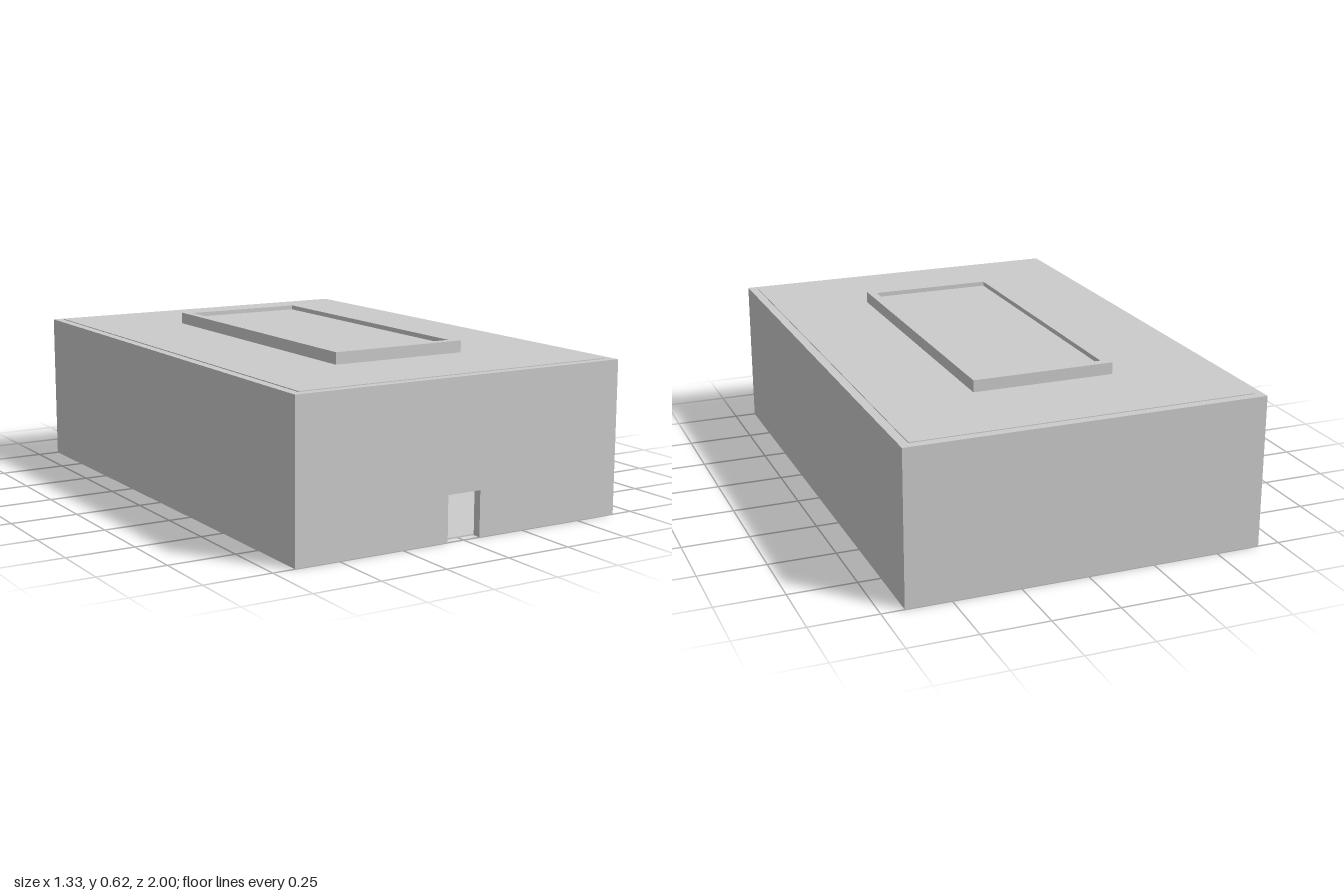
import * as THREE from 'three';

const W = 0.667, D = 1, H = 0.57, T = 0.033; // half width, half depth, wall height, wall thickness

export function createModel() {
  const model = new THREE.Group();
  const material = new THREE.MeshStandardMaterial({ color: 0xcccccc });

  const add = (name, geometry, x = 0, y = 0, z = 0) => {
    const mesh = new THREE.Mesh(geometry, material);
    mesh.name = name;
    mesh.position.set(x, y, z);
    model.add(mesh);
    return mesh;
  };
  // Box given by its size, centre in x and z, and base height
  const box = (name, w, h, d, x, y, z) =>
    add(name, new THREE.BoxGeometry(w, h, d), x, y + h / 2, z);

  // Floor, back wall and side walls
  box('floor', 2 * (W - T), 0.005, 2 * (D - T), 0, 0, 0);
  box('backWall', 2 * W, H, T, 0, 0, -D + T / 2);
  for (const [name, s] of [['leftWall', 1], ['rightWall', -1]]) {
    box(name, T, H, 2 * (D - T), s * (W - T / 2), 0, 0);
  }

  // Front wall with the doorway cut up from the ground
  const front = new THREE.Shape([
    [-W, 0], [-0.067, 0], [-0.067, 0.167], [0.067, 0.167],
    [0.067, 0], [W, 0], [W, H], [-W, H],
  ].map(([x, y]) => new THREE.Vector2(x, y)));
  add('frontWall', new THREE.ExtrudeGeometry(front, { depth: T, bevelEnabled: false }), 0, 0, D - T);

  // Roof slab set between the walls, standing barely proud of them
  box('roof', 2 * (W - T), T, 2 * (D - T), 0, 0.573 - T, 0);

  // Raised roof frame around a slightly sunken panel
  const rectangle = (Type, x, z) => new Type([
    new THREE.Vector2(-x, -z), new THREE.Vector2(x, -z),
    new THREE.Vector2(x, z), new THREE.Vector2(-x, z),
  ]);
  const rim = rectangle(THREE.Shape, 0.267, 0.6);
  rim.holes.push(rectangle(THREE.Path, 0.235, 0.566));
  const rimGeometry = new THREE.ExtrudeGeometry(rim, { depth: 0.047, bevelEnabled: false });
  rimGeometry.rotateX(-Math.PI / 2);
  add('roofFrame', rimGeometry, 0, H, 0);
  box('roofPanel', 0.47, 0.03, 1.132, 0, H, 0);

  // Round inner column with a flared foot
  const profile = [[0.042, 0.005], [0.036, 0.012], [0.033, 0.025], [0.032, 0.05], [0.03, H - T]]
    .map(([r, y]) => new THREE.Vector2(r, y));
  add('column', new THREE.LatheGeometry(profile, 32));

  return model;
}
